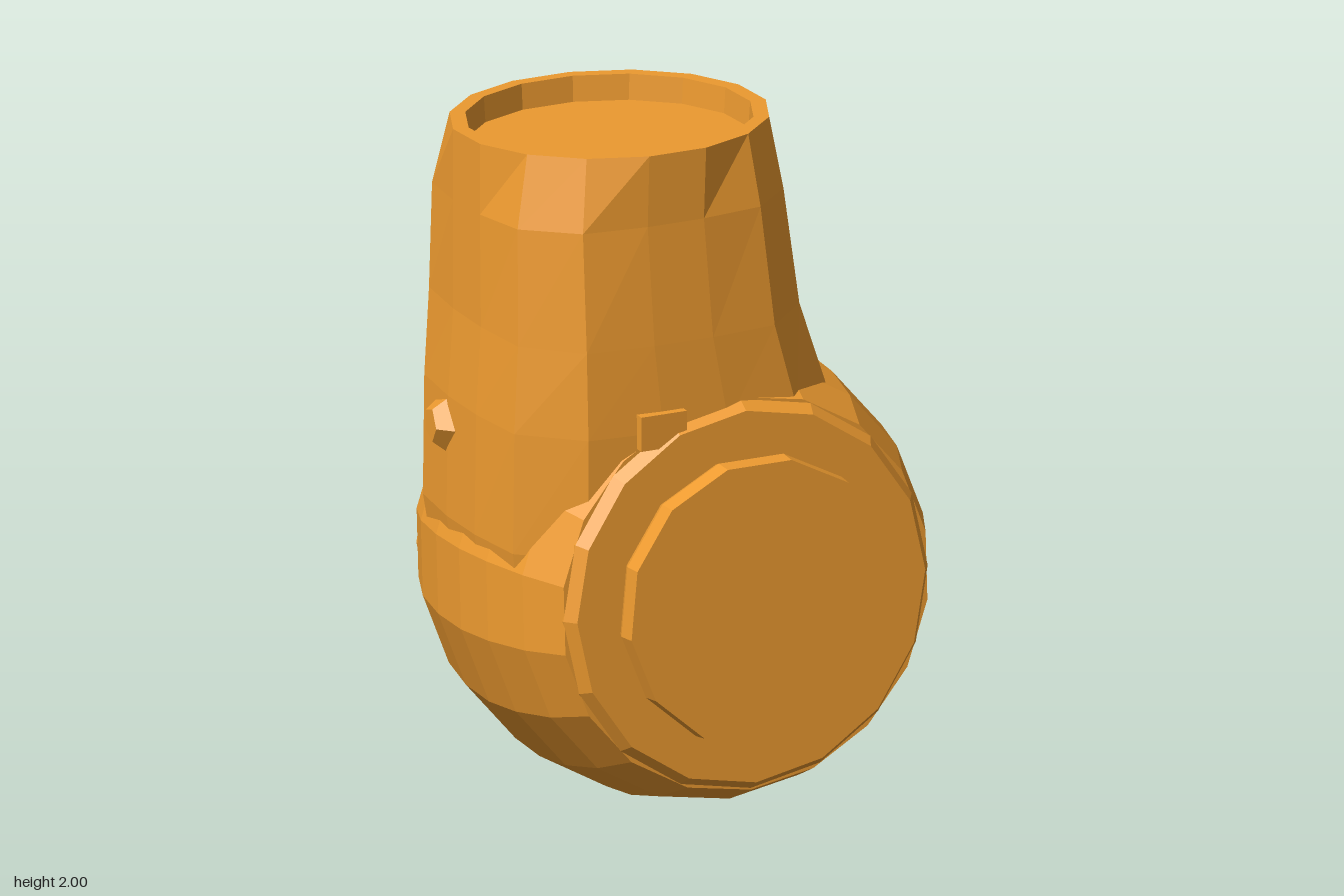
import * as THREE from 'three';

const SIDES = 16;

// Loft of superellipse rings: [y, xMin, xMax, zCentre, halfDepth, exponent]
function loft(sections, tilt) {
  const pos = [], index = [];
  for (const [y, x0, x1, cz, hz, n] of sections) {
    for (let j = 0; j < SIDES; j++) {
      const a = ((j + 0.5) / SIDES) * Math.PI * 2;
      const c = Math.cos(a), s = Math.sin(a);
      const k = Math.pow(Math.abs(c) ** n + Math.abs(s) ** n, -1 / n);
      const z = cz + hz * k * s;
      pos.push((x0 + x1) / 2 + ((x1 - x0) / 2) * k * c, y + (y > 1.7 ? z * tilt : 0), z);
    }
  }
  for (let i = 0; i < sections.length - 1; i++) {
    for (let j = 0; j < SIDES; j++) {
      const a = i * SIDES + j, b = i * SIDES + ((j + 1) % SIDES);
      index.push(a, a + SIDES, b, a + SIDES, b + SIDES, b);
    }
  }
  const g = new THREE.BufferGeometry();
  g.setAttribute('position', new THREE.Float32BufferAttribute(pos, 3));
  g.setIndex(index);
  g.computeVertexNormals();
  return g;
}

// Turned part around the z axis; profile points are [radius, z]
function turned(profile, sides) {
  const pts = profile.map(([r, z]) => new THREE.Vector2(r, z));
  return new THREE.LatheGeometry(pts, sides).rotateX(Math.PI / 2);
}

export function createModel() {
  const model = new THREE.Group();
  model.name = 'elbowJoint';
  const material = new THREE.MeshStandardMaterial({ color: 0xee9b30, flatShading: true });
  const add = (parent, name, geometry) => {
    const mesh = new THREE.Mesh(geometry, material);
    mesh.name = name;
    parent.add(mesh);
    return mesh;
  };

  // Cross barrel, slightly yawed and pitched
  const joint = new THREE.Group();
  joint.name = 'crossJoint';
  joint.position.set(0.01, 0.67, 0);
  joint.rotation.set(-0.06, 0.135, 0, 'YXZ');
  model.add(joint);
  add(joint, 'barrel', turned([
    [0, -0.47], [0.565, -0.47], [0.625, -0.32], [0.66, -0.15], [0.672, 0.02],
    [0.66, 0.17], [0.625, 0.33], [0.565, 0.47], [0, 0.47],
  ], 18));

  // Collar and end cap on both ends
  for (const side of [1, -1]) {
    const end = new THREE.Group();
    end.name = side > 0 ? 'frontEnd' : 'backEnd';
    end.rotation.y = side > 0 ? 0 : Math.PI;
    joint.add(end);
    add(end, 'collar', turned([[0.56, 0.4], [0.56, 0.47], [0.535, 0.507], [0, 0.507]], 16));
    add(end, 'endCap', turned([[0.4, 0.49], [0.415, 0.53], [0.41, 0.585], [0, 0.585]], 13));
  }

  // Upright neck: squarish below, round at the rim, with a recessed top
  const neck = new THREE.Group();
  neck.name = 'neck';
  neck.rotation.y = 0.135;
  model.add(neck);
  add(neck, 'neckShell', loft([
    [0.58, -0.60, 0.36, 0, 0.42, 4],
    [0.85, -0.64, 0.40, 0, 0.45, 4],
    [1.20, -0.635, 0.37, 0, 0.45, 4],
    [1.45, -0.615, 0.29, -0.01, 0.445, 4],
    [1.77, -0.61, 0.26, -0.025, 0.435, 3.5],
    [1.975, -0.615, 0.28, -0.03, 0.445, 2],
    [1.975, -0.57, 0.235, -0.03, 0.405, 2],
    [1.90, -0.565, 0.23, -0.03, 0.40, 2],
    [1.90, -0.168, -0.167, -0.03, 0.0005, 2],
  ], 0.055));

  // Small raised chips on the side wall and above the front collar
  const sideChip = add(model, 'sideChip', new THREE.CylinderGeometry(0.05, 0.09, 0.05, 5));
  sideChip.rotation.z = Math.PI / 2;
  sideChip.position.set(-0.655, 1.11, -0.04);
  const collarChip = add(neck, 'collarChip', new THREE.BoxGeometry(0.14, 0.1, 0.08));
  collarChip.position.set(-0.24, 1.21, 0.43);

  return model;
}
